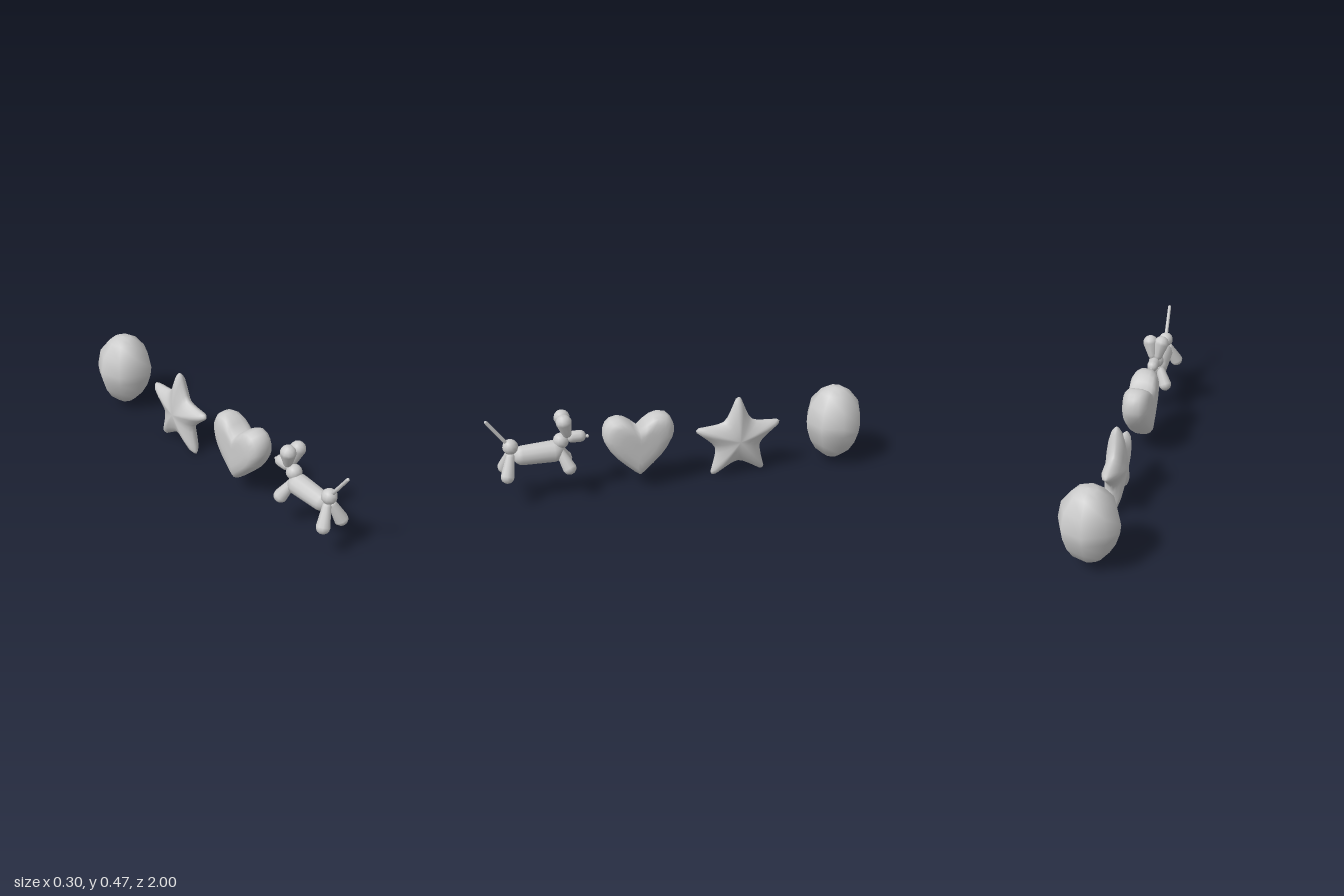
import * as THREE from 'three';
import { mergeVertices } from 'three/addons/utils/BufferGeometryUtils.js';

const material = new THREE.MeshStandardMaterial({ color: 0xcccccc });
const V = (x, y, z) => new THREE.Vector3(x, y, z);

function add(parent, name, geometry) {
  const mesh = new THREE.Mesh(geometry, material);
  mesh.name = name;
  parent.add(mesh);
  return mesh;
}

// Round-ended, tapered balloon segment between the centres of its two end caps
function segment(parent, name, a, b, ra, rb, sides = 10) {
  const dir = b.clone().sub(a), len = dir.length(), pts = [];
  const steps = 4;
  for (let i = 0; i <= steps; i++) {
    const t = -Math.PI / 2 + (i / steps) * Math.PI / 2;
    pts.push(new THREE.Vector2(ra * Math.cos(t), ra * Math.sin(t)));
  }
  for (let i = 0; i <= steps; i++) {
    const t = (i / steps) * Math.PI / 2;
    pts.push(new THREE.Vector2(rb * Math.cos(t), len + rb * Math.sin(t)));
  }
  pts[0].x = pts[pts.length - 1].x = 0;
  const mesh = add(parent, name, new THREE.LatheGeometry(pts, sides));
  mesh.position.copy(a);
  mesh.quaternion.setFromUnitVectors(V(0, 1, 0), dir.normalize());
  return mesh;
}

function ball(parent, name, centre, r) {
  add(parent, name, new THREE.SphereGeometry(r, 12, 8)).position.copy(centre);
}

// Puffed-up foil shape: an outline [u, y] (u runs towards -z) shrinks to its
// centre while the thickness grows, following a list of [scale, x] steps
function inflate(outline, profile) {
  const half = profile.map(([s, x]) => [s, x]);
  const rings = [...half.slice(1).reverse().map(([s, x]) => [s, -x]), ...half];
  const n = outline.length, pos = [], index = [];
  rings.forEach(([s, x], i) => outline.forEach(([u, y], j) => {
    pos.push(x, y * s, -u * s);
    if (i === rings.length - 1) return;
    const a = i * n + j, b = i * n + (j + 1) % n;
    index.push(a, b, a + n, b, b + n, a + n);
  }));
  let g = new THREE.BufferGeometry();
  g.setAttribute('position', new THREE.Float32BufferAttribute(pos, 3));
  g.setIndex(index);
  g = mergeVertices(g);
  g.computeVertexNormals();
  return g;
}

function roundBalloon() {
  const profile = [[0, 0.034], [0.048, 0.042], [0.095, 0.083], [0.126, 0.136], [0.146, 0.2],
    [0.152, 0.25], [0.134, 0.34], [0.08, 0.408], [0.042, 0.43], [0, 0.436]];
  return new THREE.LatheGeometry(profile.map(p => new THREE.Vector2(...p)), 8);
}

function starBalloon() {
  // Half an arm, from rounded tip to valley: [angle from tip, radius]
  const arm = [[0, 0.24], [0.055, 0.233], [0.12, 0.205], [0.23, 0.172], [0.42, 0.141], [0.628, 0.13]];
  const full = [...arm.slice(1, -1).reverse().map(([a, r]) => [-a, r]), ...arm];
  const outline = [];
  for (let k = 0; k < 5; k++) {
    const base = Math.PI / 2 + k * Math.PI * 2 / 5;
    full.forEach(([a, r]) => outline.push([r * Math.cos(base + a), r * Math.sin(base + a)]));
  }
  return inflate(outline, [[1, 0], [0.97, 0.01], [0.88, 0.025], [0.65, 0.041], [0.35, 0.052], [0.12, 0.055], [0, 0.055]]);
}

function heartBalloon() {
  // Right half from bottom point to notch, relative to the centre
  const half = [[0, -0.172], [0.025, -0.153], [0.075, -0.107], [0.12, -0.062], [0.152, -0.02],
    [0.176, 0.025], [0.185, 0.058], [0.183, 0.098], [0.17, 0.13], [0.147, 0.152],
    [0.108, 0.161], [0.075, 0.151], [0.04, 0.128], [0, 0.092]];
  const outline = [...half, ...half.slice(1, -1).reverse().map(([u, y]) => [-u, y])];
  return inflate(outline, [[1, 0], [0.99, 0.028], [0.91, 0.052], [0.76, 0.068], [0.5, 0.073], [0.2, 0.073], [0, 0.073]]);
}

function balloonDog() {
  const dog = new THREE.Group();
  dog.name = 'balloonDog';
  segment(dog, 'body', V(0, 0.262, 0.82), V(0, 0.265, 0.66), 0.05, 0.056, 12);
  ball(dog, 'rumpBall', V(0, 0.318, 0.878), 0.04);
  segment(dog, 'tail', V(0.002, 0.34, 0.895), V(0.004, 0.47, 0.99), 0.01, 0.009, 8);
  ball(dog, 'neckBall', V(0, 0.318, 0.622), 0.041);
  segment(dog, 'snout', V(0, 0.332, 0.565), V(0, 0.332, 0.524), 0.03, 0.031);
  segment(dog, 'noseKnot', V(0, 0.328, 0.5), V(0, 0.326, 0.487), 0.006, 0.01, 8);
  for (const [s, side] of [[1, 'left'], [-1, 'right']]) {
    segment(dog, side + 'HindLeg', V(s * 0.018, 0.268, 0.883), V(s * 0.056, 0.182, 0.907), 0.023, 0.036);
    segment(dog, side + 'FrontLeg', V(s * 0.018, 0.268, 0.632), V(s * 0.056, 0.188, 0.594), 0.023, 0.036);
    segment(dog, side + 'Ear', V(s * 0.016, 0.365, 0.593), V(s * 0.03, 0.432, 0.608), 0.025, 0.041);
  }
  dog.position.x = 0.003;
  return dog;
}

export function createModel() {
  const model = new THREE.Group();
  model.name = 'balloons';
  add(model, 'roundBalloon', roundBalloon()).position.z = -0.848;
  add(model, 'starBalloon', starBalloon()).position.set(0, 0.203, -0.314);
  add(model, 'heartBalloon', heartBalloon()).position.set(0, 0.25, 0.222);
  model.add(balloonDog());
  return model;
}
